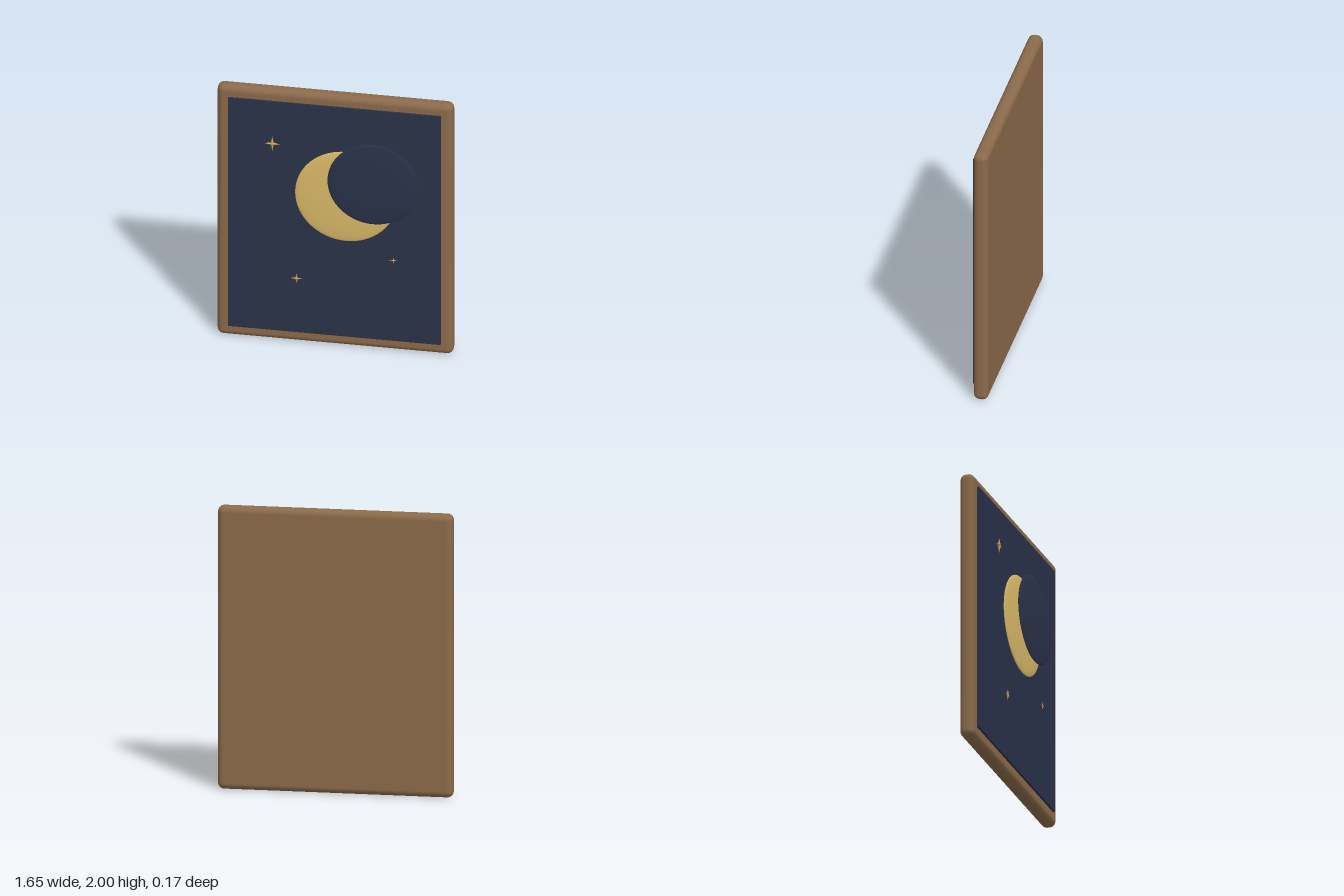
import * as THREE from 'three';
import { RoundedBoxGeometry } from 'three/addons/geometries/RoundedBoxGeometry.js';

export function createModel() {
  const group = new THREE.Group();
  const mat = (color, flatShading = false) => new THREE.MeshStandardMaterial({ color, flatShading });
  const wood = mat(0x8b6a4a), night = mat(0x2a3249), gold = mat(0xdab968), starGold = mat(0xd0a050, true);

  function add(name, geometry, material, x, y, z, parent = group) {
    const mesh = new THREE.Mesh(geometry, material);
    mesh.name = name;
    mesh.position.set(x, y, z);
    parent.add(mesh);
    return mesh;
  }

  // Rounded wooden board and the night-sky panel on its front
  add('frame', new RoundedBoxGeometry(1.655, 2, 0.104, 5, 0.045), wood, 0, 1, -0.031);
  add('skyPanel', new THREE.BoxGeometry(1.49, 1.83, 0.04), night, 0, 1.003, 0.016);

  // Flattened moon, partly covered by a sky-coloured disc to leave a crescent
  const lens = (name, r, depth, material, x, y, z) =>
    add(name, new THREE.SphereGeometry(1, 48, 32), material, x, y, z).scale.set(r, r, depth);
  lens('moon', 0.357, 0.02, gold, 0.083, 1.216, 0.042);
  lens('moonShadow', 0.318, 0.021, night, 0.275, 1.343, 0.062);

  // Four-pointed stars: two crossed, stretched octahedra each
  for (const [x, y, r] of [[-0.43, 1.6, 0.057], [-0.26, 0.537, 0.041], [0.42, 0.75, 0.028]]) {
    const star = new THREE.Group();
    star.name = 'star';
    star.position.set(x, y, 0.066);
    const t = r * 0.21;
    add('starRayHorizontal', new THREE.OctahedronGeometry(1), starGold, 0, 0, 0, star).scale.set(r, t, t);
    add('starRayVertical', new THREE.OctahedronGeometry(1), starGold, 0, 0, 0, star).scale.set(t, r, t);
    group.add(star);
  }
  return group;
}
